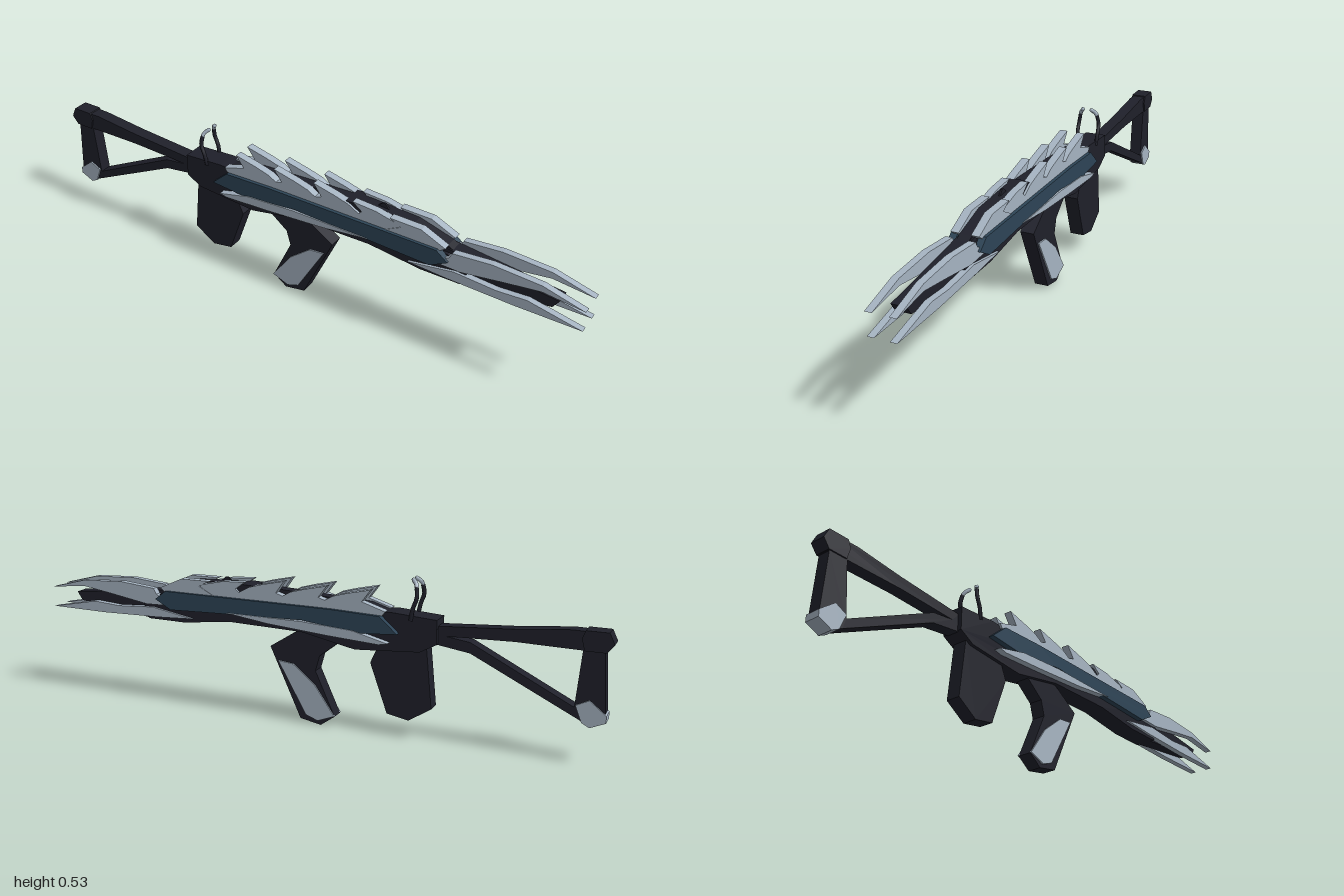
import * as THREE from 'three';

const flat = (name, color) => {
  const m = new THREE.MeshStandardMaterial({ color });
  m.name = name;
  return m;
};

export function createModel() {
  const model = new THREE.Group();
  model.name = 'rifle';
  const dark = flat('charcoal', 0x1f202a);
  const navy = flat('navy', 0x2d4456);
  const silver = flat('silver', 0xa6b4c2);

  // Side outline extruded between two depths. Holes run opposite to the outline.
  function slab(name, mat, pts, z0, z1, hole = null) {
    const toVec = (p) => new THREE.Vector2(p[0], p[1]);
    const shape = new THREE.Shape(pts.map(toVec));
    if (hole) shape.holes.push(new THREE.Path(hole.map(toVec)));
    const geo = new THREE.ExtrudeGeometry(shape, { depth: z1 - z0, bevelEnabled: false });
    geo.translate(0, 0, z0);
    const mesh = new THREE.Mesh(geo, mat);
    mesh.name = name;
    model.add(mesh);
  }
  const centred = (name, mat, pts, half, hole) => slab(name, mat, pts, -half, half, hole);
  const pair = (name, mat, pts, inner, outer) => {
    slab(name + 'Left', mat, pts, inner, outer);
    slab(name + 'Right', mat, pts, -outer, -inner);
  };

  // Skeleton stock with butt cap and heel
  centred('stock', dark, [
    [-0.99, 0.39], [-0.98, 0.42], [-0.87, 0.422], [-0.70, 0.405], [-0.45, 0.388],
    [-0.45, 0.328], [-0.56, 0.312], [-0.90, 0.147], [-0.94, 0.127], [-0.985, 0.147], [-0.97, 0.36],
  ], 0.022, [[-0.89, 0.182], [-0.56, 0.347], [-0.48, 0.358], [-0.70, 0.365], [-0.905, 0.362]]);
  centred('buttCap', dark, [
    [-0.997, 0.39], [-0.98, 0.425], [-0.91, 0.425], [-0.90, 0.40], [-0.91, 0.362], [-0.975, 0.362],
  ], 0.027);
  centred('stockHeel', silver, [
    [-0.988, 0.168], [-0.935, 0.21], [-0.894, 0.19], [-0.915, 0.137], [-0.94, 0.124], [-0.988, 0.145],
  ], 0.027);

  // Receiver, top ridge and barrel
  centred('receiver', dark, [
    [-0.455, 0.41], [-0.31, 0.42], [0.0, 0.41], [0.55, 0.40], [0.62, 0.36], [0.60, 0.308], [0.46, 0.307],
    [0.275, 0.328], [0.01, 0.322], [-0.18, 0.284], [-0.40, 0.30], [-0.455, 0.33],
  ], 0.037);
  centred('topRidge', dark, [
    [-0.34, 0.40], [-0.22, 0.437], [0.0, 0.45], [0.25, 0.463], [0.42, 0.455], [0.54, 0.42], [0.60, 0.39],
  ], 0.02);
  centred('crestBlock', dark, [[0.18, 0.40], [0.18, 0.461], [0.25, 0.463], [0.25, 0.40]], 0.037);
  centred('frontSight', dark, [[0.27, 0.45], [0.30, 0.476], [0.31, 0.476], [0.33, 0.45]], 0.003);
  centred('barrel', dark, [
    [0.52, 0.415], [0.70, 0.395], [0.91, 0.373], [0.89, 0.343], [0.60, 0.307], [0.50, 0.31],
  ], 0.025);

  // Magazine and grip
  centred('magazine', dark, [
    [-0.42, 0.31], [-0.441, 0.112], [-0.365, 0.063], [-0.29, 0.077], [-0.23, 0.243], [-0.26, 0.31],
  ], 0.025);
  centred('grip', dark, [
    [-0.136, 0.31], [-0.05, 0.243], [-0.035, 0.19], [-0.105, 0.038], [-0.055, 0.002], [0.02, 0.016],
    [0.131, 0.257], [0.045, 0.312], [0.0, 0.335],
  ], 0.024);
  pair('gripPanel', silver, [
    [-0.105, 0.04], [-0.035, 0.14], [0.045, 0.205], [0.10, 0.211], [0.068, 0.155], [-0.002, 0.033], [-0.045, 0.017],
  ], 0.021, 0.029);

  // Side panels and the blades under them
  pair('sidePanel', navy, [
    [-0.33, 0.355], [-0.27, 0.408], [-0.10, 0.414], [0.52, 0.416], [0.56, 0.385], [0.50, 0.352],
    [0.33, 0.358], [0.0, 0.368], [-0.20, 0.345],
  ], 0.034, 0.057);
  pair('lowerBlade', silver, [
    [-0.30, 0.322], [-0.18, 0.352], [0.0, 0.364], [0.28, 0.364], [0.12, 0.343], [-0.10, 0.326], [-0.27, 0.316],
  ], 0.034, 0.06);

  // Swept-back crest teeth
  for (const [x, y] of [[-0.235, 0.488], [-0.083, 0.487], [0.07, 0.489]]) {
    pair('crestTooth', silver, [
      [x, y], [x + 0.08, y - 0.018], [x + 0.13, y - 0.032], [x + 0.18, y - 0.06], [x + 0.15, 0.408],
      [x - 0.04, 0.408], [x - 0.05, 0.422], [x + 0.03, 0.447],
    ], 0.018, 0.045);
  }
  pair('crestTooth', silver, [
    [0.215, 0.473], [0.30, 0.468], [0.38, 0.45], [0.41, 0.41], [0.21, 0.41], [0.25, 0.447],
  ], 0.02, 0.045);
  pair('crestFront', silver, [
    [0.35, 0.464], [0.46, 0.463], [0.545, 0.425], [0.52, 0.407], [0.32, 0.407], [0.39, 0.444],
  ], 0.02, 0.047);

  // Long muzzle blades
  pair('upperMuzzleBlade', silver, [
    [0.48, 0.365], [0.56, 0.40], [0.57, 0.42], [0.70, 0.432], [0.86, 0.424], [0.997, 0.388],
    [0.86, 0.402], [0.75, 0.386], [0.60, 0.362],
  ], 0.026, 0.049);
  pair('lowerMuzzleBlade', silver, [
    [0.42, 0.325], [0.58, 0.352], [0.72, 0.343], [0.82, 0.35], [0.997, 0.315], [0.78, 0.313], [0.56, 0.318],
  ], 0.024, 0.046);

  // Curved rear sight horns with pale tips
  for (const s of [1, -1]) {
    const horn = (name, mat, pts) => {
      const curve = new THREE.CatmullRomCurve3(pts.map(([x, y, z]) => new THREE.Vector3(x, y, z * s)));
      const mesh = new THREE.Mesh(new THREE.TubeGeometry(curve, 8, 0.007, 6), mat);
      mesh.name = name;
      model.add(mesh);
      const cap = new THREE.Mesh(new THREE.SphereGeometry(0.007, 6, 4), mat);
      cap.position.copy(curve.getPoint(1));
      cap.name = name + 'End';
      model.add(cap);
    };
    horn('sightHorn', dark, [[-0.368, 0.40, 0.035], [-0.375, 0.44, 0.038], [-0.387, 0.475, 0.037], [-0.384, 0.505, 0.031]]);
    horn('sightHornTip', silver, [[-0.384, 0.507, 0.031], [-0.379, 0.518, 0.024], [-0.368, 0.528, 0.016]]);
  }
  return model;
}
